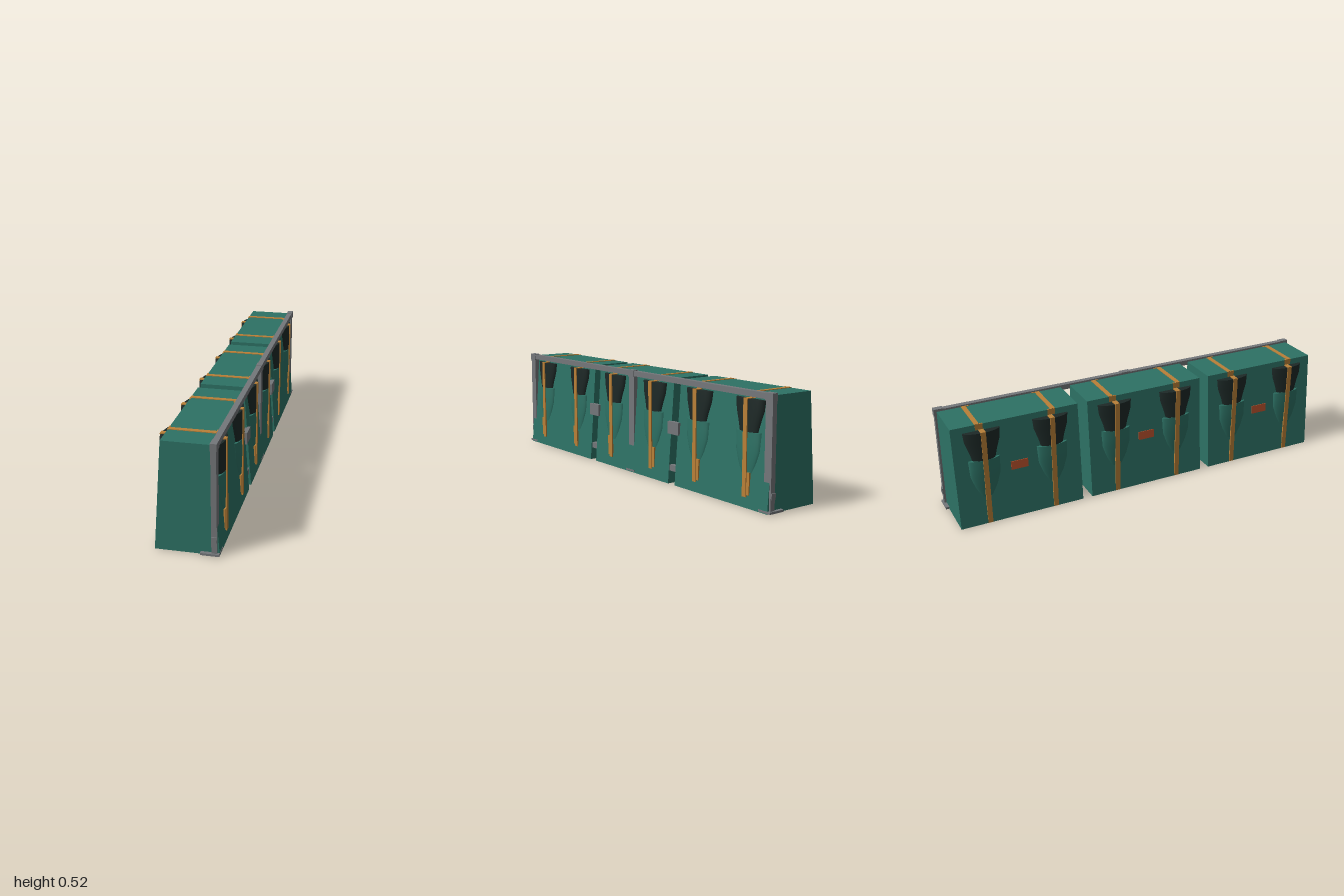
import * as THREE from 'three';

const mat = (name, color, side = THREE.FrontSide) => {
  const m = new THREE.MeshStandardMaterial({ color, side });
  m.name = name;
  return m;
};

// half width of the tapered blocks at height y
const TOP = 0.51;
const halfWidth = (y) => 0.1425 - 0.0375 * (y / TOP);

export function createModel() {
  const root = new THREE.Group();
  root.name = 'barrierBlocks';

  const green = mat('green cover', 0x2d7265, THREE.DoubleSide);
  const dark = mat('dark lining', 0x1d2927, THREE.DoubleSide);
  const tan = mat('tan strap', 0xb98038);
  const steel = mat('grey steel', 0x74777a);
  const rust = mat('rust label', 0xb5502b);

  const add = (name, geometry, material, parent = root) => {
    const mesh = new THREE.Mesh(geometry, material);
    mesh.name = name;
    parent.add(mesh);
    return mesh;
  };
  // box given by its limits on each axis
  const box = (name, x0, x1, y0, y1, z0, z1, material, parent = root) => {
    const mesh = add(name, new THREE.BoxGeometry(x1 - x0, y1 - y0, z1 - z0), material, parent);
    mesh.position.set((x0 + x1) / 2, (y0 + y1) / 2, (z0 + z1) / 2);
    return mesh;
  };

  // half-round fold on a sloping side, lofted through [y, half width, reach] rows
  const foldGeometry = (rows, side, cz) => {
    const n = 12, pos = [], index = [];
    for (const [y, hw, reach] of rows) {
      const base = halfWidth(y) - 0.003;
      for (let j = 0; j <= n; j++) {
        const a = (j / n - 0.5) * Math.PI;
        pos.push(side * (base + Math.max(reach - base, 0) * Math.cos(a)), y, cz + hw * Math.sin(a));
      }
    }
    for (let i = 0; i < rows.length - 1; i++) {
      for (let j = 0; j < n; j++) {
        const a = i * (n + 1) + j, b = a + 1, c = a + n + 1, d = c + 1;
        if (side > 0) index.push(a, b, c, b, d, c);
        else index.push(a, c, b, b, c, d);
      }
    }
    const g = new THREE.BufferGeometry();
    g.setAttribute('position', new THREE.Float32BufferAttribute(pos, 3));
    g.setIndex(index);
    g.computeVertexNormals();
    return g;
  };
  const capRows = [[0.48, 0.09, 0.141], [0.43, 0.085, 0.141], [0.37, 0.065, 0.141], [0.33, 0.055, 0.14]];
  const bulgeRows = [[0.338, 0.078, 0.14], [0.30, 0.076, 0.141], [0.255, 0.074, 0.141],
    [0.20, 0.055, 0.139], [0.145, 0.028, 0.134]];
  const lidGeometry = (y, hw, reach, side, cz) =>
    foldGeometry([[y + 0.0005, hw, 0], [y, hw, reach]], side, cz);

  // three tapered blocks with labels and dark undersides
  const blocks = [[0.36, 0.983], [-0.31, 0.31], [-0.983, -0.36]];
  blocks.forEach(([z0, z1], i) => {
    const unit = new THREE.Group();
    unit.name = 'block' + (i + 1);
    root.add(unit);
    const zc = (z0 + z1) / 2;

    const y0 = 0.002;
    const shape = new THREE.Shape([
      new THREE.Vector2(-halfWidth(0), y0), new THREE.Vector2(halfWidth(0), y0),
      new THREE.Vector2(halfWidth(TOP), TOP), new THREE.Vector2(-halfWidth(TOP), TOP),
    ]);
    const body = new THREE.ExtrudeGeometry(shape, { depth: z1 - z0, bevelEnabled: false });
    add('cover', body, green, unit).position.z = z0;

    const patch = add('undersidePatch', new THREE.CircleGeometry(0.1, 10), dark, unit);
    patch.rotation.x = Math.PI / 2;
    patch.scale.set(1, 1.6, 1);
    patch.position.set(0, 0.0005, zc);

    const label = add('label', new THREE.BoxGeometry(0.006, 0.042, 0.085), rust, unit);
    label.position.set(-halfWidth(0.27) - 0.001, 0.27, zc);
    label.rotation.z = -Math.atan(0.0375 / TOP);

    // two strapped folds on each side
    for (const end of [-1, 1]) {
      const cz = zc + end * 0.168;
      const topZ = zc + end * 0.185;
      box('topStrap', -halfWidth(TOP), halfWidth(TOP), TOP - 0.003, TOP + 0.003, topZ - 0.011, topZ + 0.011, tan, unit);
      for (const side of [-1, 1]) {
        add('darkFold', foldGeometry(capRows, side, cz), dark, unit);
        add('darkFoldLid', lidGeometry(0.48, 0.09, 0.141, side, cz), dark, unit);
        add('greenFold', foldGeometry(bulgeRows, side, cz), green, unit);
        add('greenFoldLid', lidGeometry(0.338, 0.078, 0.14, side, cz), green, unit);

        const strap = (name, xa, xb, ya, yb, za, zb) =>
          box(name, Math.min(side * xa, side * xb), Math.max(side * xa, side * xb), ya, yb, za, zb, tan, unit);
        strap('sideStrap', 0.137, 0.1445, side > 0 ? 0.05 : 0.003, 0.482, cz - 0.012, cz + 0.012);
        strap('shoulderStrap', 0.104, 0.1445, 0.478, 0.484, cz - 0.012, cz + 0.012);
        strap('cornerStrap', 0.1, 0.107, 0.48, 0.512, Math.min(cz, topZ) - 0.01, Math.max(cz, topZ) + 0.01);
        if (side > 0) {
          const tailZ = cz + Math.sign(cz) * 0.016;
          strap('strapTail', 0.13, 0.141, 0.06, 0.16, tailZ - 0.012, tailZ + 0.012);
        }
      }
    }
  });

  // steel frame along the left side
  const frame = new THREE.Group();
  frame.name = 'frame';
  root.add(frame);
  box('topRail', 0.108, 0.134, 0.492, 0.518, -0.99, 0.99, steel, frame);
  box('lowerRail', 0.108, 0.132, 0.065, 0.094, -0.998, 0.998, steel, frame);
  for (const z of [-0.972, 0, 0.972]) {
    box('post', 0.108, 0.1325, 0.012, 0.5, z - 0.021, z + 0.021, steel, frame);
    box('postCap', 0.107, 0.136, 0.487, 0.521, z - 0.024, z + 0.024, steel, frame);
    const c = Math.sign(z) * 0.965;
    box('footPlate', 0.06, 0.143, 0.005, 0.015, c - 0.035, c + 0.035, steel, frame);
  }
  for (const z of [-0.335, 0.335]) {
    box('jointPlate', 0.112, 0.134, 0.245, 0.305, z - 0.04, z + 0.04, steel, frame);
  }
  return root;
}
